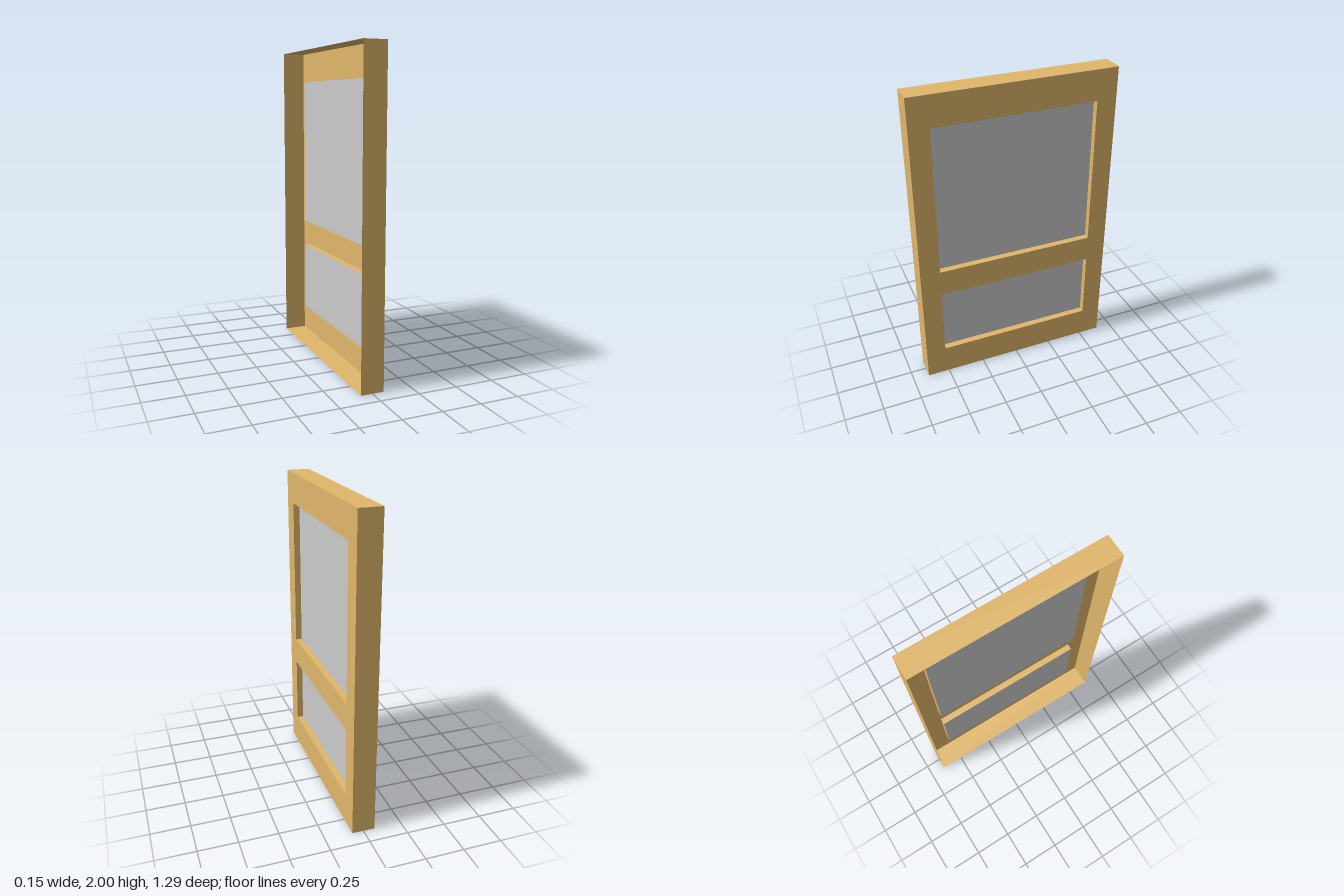
import * as THREE from 'three';

const HALF_X = 0.073, HALF_Z = 0.645, HEIGHT = 2;
const PANEL_X = 0.032; // the panels sit behind the front sheet

const wood = new THREE.MeshStandardMaterial({ color: 0xe0b76b, side: THREE.DoubleSide });
const grey = new THREE.MeshStandardMaterial({ color: 0xcccccc, side: THREE.DoubleSide });

function add(parent, name, geometry, material) {
  const mesh = new THREE.Mesh(geometry, material);
  mesh.name = name;
  parent.add(mesh);
  return mesh;
}

// Four thin walls around a rectangle, running from x0 to x1
function rim(name, { halfZ, bottom, top }, x0, x1) {
  const group = new THREE.Group();
  group.name = name;
  const depth = x1 - x0, x = (x0 + x1) / 2;
  for (const s of [1, -1]) {
    const side = new THREE.PlaneGeometry(depth, top - bottom);
    if (s < 0) side.rotateY(Math.PI);
    add(group, s > 0 ? 'frontWall' : 'backWall', side, wood)
      .position.set(x, (top + bottom) / 2, s * halfZ);
    const level = new THREE.PlaneGeometry(depth, 2 * halfZ).rotateX(-s * Math.PI / 2);
    add(group, s > 0 ? 'topWall' : 'bottomWall', level, wood)
      .position.set(x, s > 0 ? top : bottom, 0);
  }
  return group;
}

function rectangle(Path, { halfZ, bottom, top }) {
  return new Path([[-halfZ, bottom], [halfZ, bottom], [halfZ, top], [-halfZ, top]]
    .map(([x, y]) => new THREE.Vector2(x, y)));
}

export function createModel() {
  const model = new THREE.Group();
  model.name = 'door';

  const outline = { halfZ: HALF_Z, bottom: 0, top: HEIGHT };
  const openings = [
    { name: 'upper', halfZ: 0.517, bottom: 0.83, top: 1.803 },
    { name: 'lower', halfZ: 0.517, bottom: 0.2, top: 0.655 },
  ];

  // Front sheet with two openings, and the outer walls of the hollow shell
  const sheet = rectangle(THREE.Shape, outline);
  for (const o of openings) sheet.holes.push(rectangle(THREE.Path, o));
  add(model, 'frameFace', new THREE.ShapeGeometry(sheet).rotateY(Math.PI / 2), wood)
    .position.x = HALF_X;
  model.add(rim('outerWalls', outline, -HALF_X, HALF_X));

  // Recessed panels with their reveals
  for (const o of openings) {
    model.add(rim(o.name + 'Reveal', o, PANEL_X, HALF_X));
    const pane = new THREE.ShapeGeometry(rectangle(THREE.Shape, o)).rotateY(Math.PI / 2);
    add(model, o.name + 'Panel', pane, grey).position.x = PANEL_X;
  }
  return model;
}
